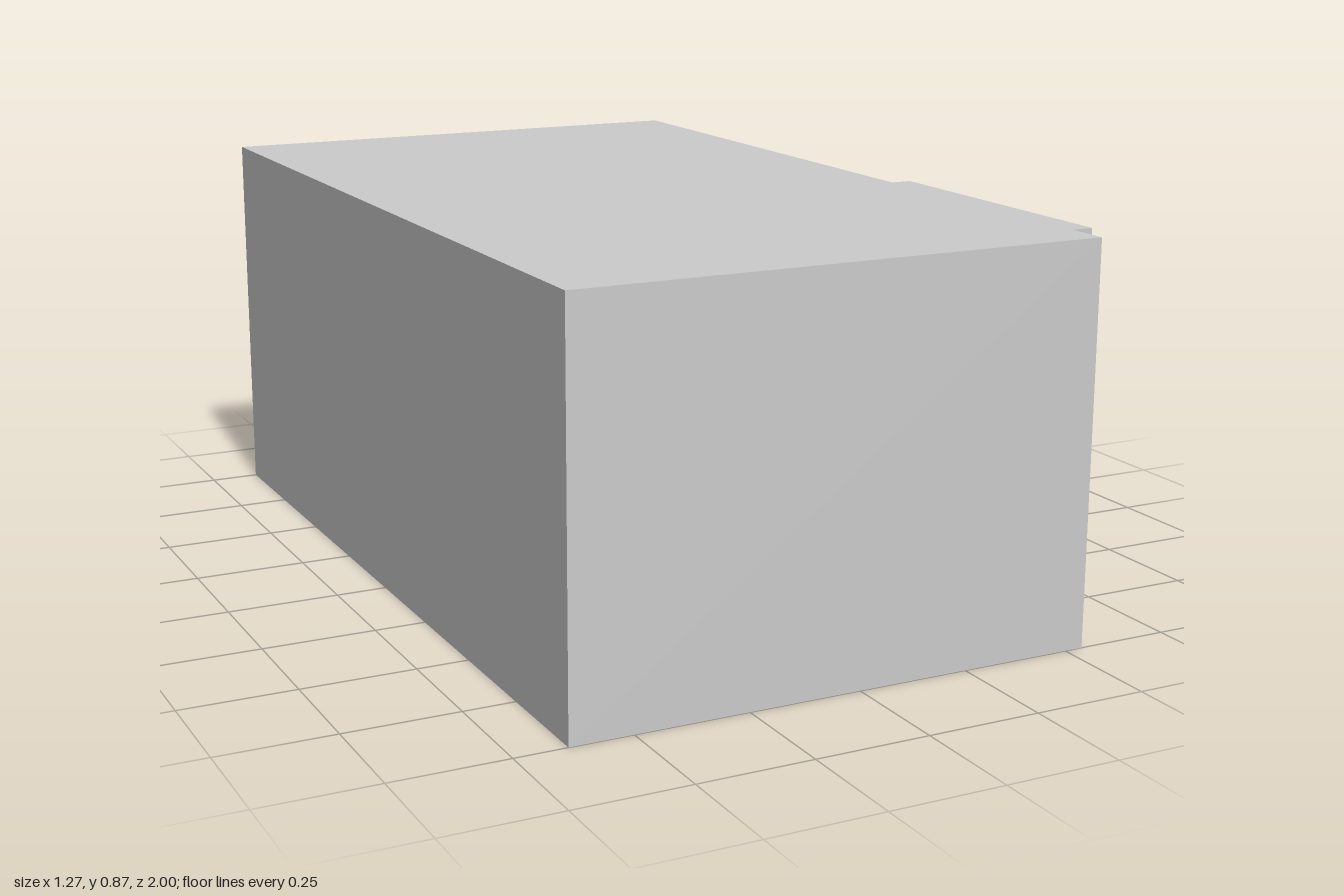
import * as THREE from 'three';

const material = new THREE.MeshStandardMaterial({ color: 0xcccccc, side: THREE.DoubleSide, flatShading: true });

// Main levels and plan positions
const HEIGHT = 0.872, DOOR_HEIGHT = 0.627;
const LEFT = 0.542, BAY = 0.59, PORCH = 0.636, RIGHT = -0.637;
const BAY_FRONT = 0.905, BAY_BACK = 0.222;
const DOOR_FRONT = 0.77, DOOR_BACK = 0.425, SILL_BACK = 0.36;

function shapeOf(points) {
  return new THREE.Shape(points.map(([a, b]) => new THREE.Vector2(a, b)));
}

export function createModel() {
  const group = new THREE.Group();

  function add(name, geometry) {
    const mesh = new THREE.Mesh(geometry, material);
    mesh.name = name;
    group.add(mesh);
  }

  // Thin horizontal slab from [x, z] points, facing up or down
  function slab(name, points, y, up) {
    const s = up ? -1 : 1;
    const geometry = new THREE.ShapeGeometry(shapeOf(points.map(([x, z]) => [x, s * z])));
    add(name, geometry.rotateX(s * Math.PI / 2).translate(0, y, 0));
  }

  // Thin upright panel between two [x, z] points, facing outward
  function wall(name, [x0, z0], [x1, z1], height) {
    const geometry = new THREE.PlaneGeometry(Math.hypot(x1 - x0, z1 - z0), height);
    geometry.rotateY(Math.atan2(z0 - z1, x1 - x0));
    add(name, geometry.translate((x0 + x1) / 2, height / 2, (z0 + z1) / 2));
  }

  // Room outline with the shallow bay on the left side
  const outline = [
    [RIGHT, 1], [LEFT, 1], [LEFT, BAY_FRONT], [BAY, BAY_FRONT],
    [BAY, BAY_BACK], [LEFT, BAY_BACK], [LEFT, -1], [RIGHT, -1],
  ];
  const names = ['frontWall', 'leftWallFront', 'bayFront', 'bayDoorWall', 'bayBack', 'leftWallBack', 'backWall', 'rightWall'];

  // Walls, leaving out the one with the doorway
  names.forEach((name, i) => {
    if (name !== 'bayDoorWall') wall(name, outline[i], outline[(i + 1) % outline.length], HEIGHT);
  });

  // Bay wall cut around the doorway
  const doorWall = shapeOf([
    [-BAY_FRONT, 0], [-DOOR_FRONT, 0], [-DOOR_FRONT, DOOR_HEIGHT], [-DOOR_BACK, DOOR_HEIGHT],
    [-DOOR_BACK, 0], [-BAY_BACK, 0], [-BAY_BACK, HEIGHT], [-BAY_FRONT, HEIGHT],
  ]);
  add('bayDoorWall', new THREE.ShapeGeometry(doorWall).rotateY(Math.PI / 2).translate(BAY, 0, 0));

  // Ceiling and floor
  slab('ceiling', outline, HEIGHT, true);
  slab('floor', outline, 0, false);

  // Door frame: sill, lintel and two jambs
  slab('doorSill', [[BAY, DOOR_FRONT], [PORCH, DOOR_FRONT], [PORCH, SILL_BACK], [BAY, SILL_BACK]], 0, false);
  slab('doorLintel', [[BAY, DOOR_FRONT], [PORCH, DOOR_FRONT], [PORCH, DOOR_BACK], [BAY, DOOR_BACK]], DOOR_HEIGHT, true);
  wall('doorJambFront', [BAY, DOOR_FRONT], [PORCH, DOOR_FRONT], DOOR_HEIGHT);
  wall('doorJambBack', [PORCH, DOOR_BACK], [BAY, DOOR_BACK], DOOR_HEIGHT);

  return group;
}
